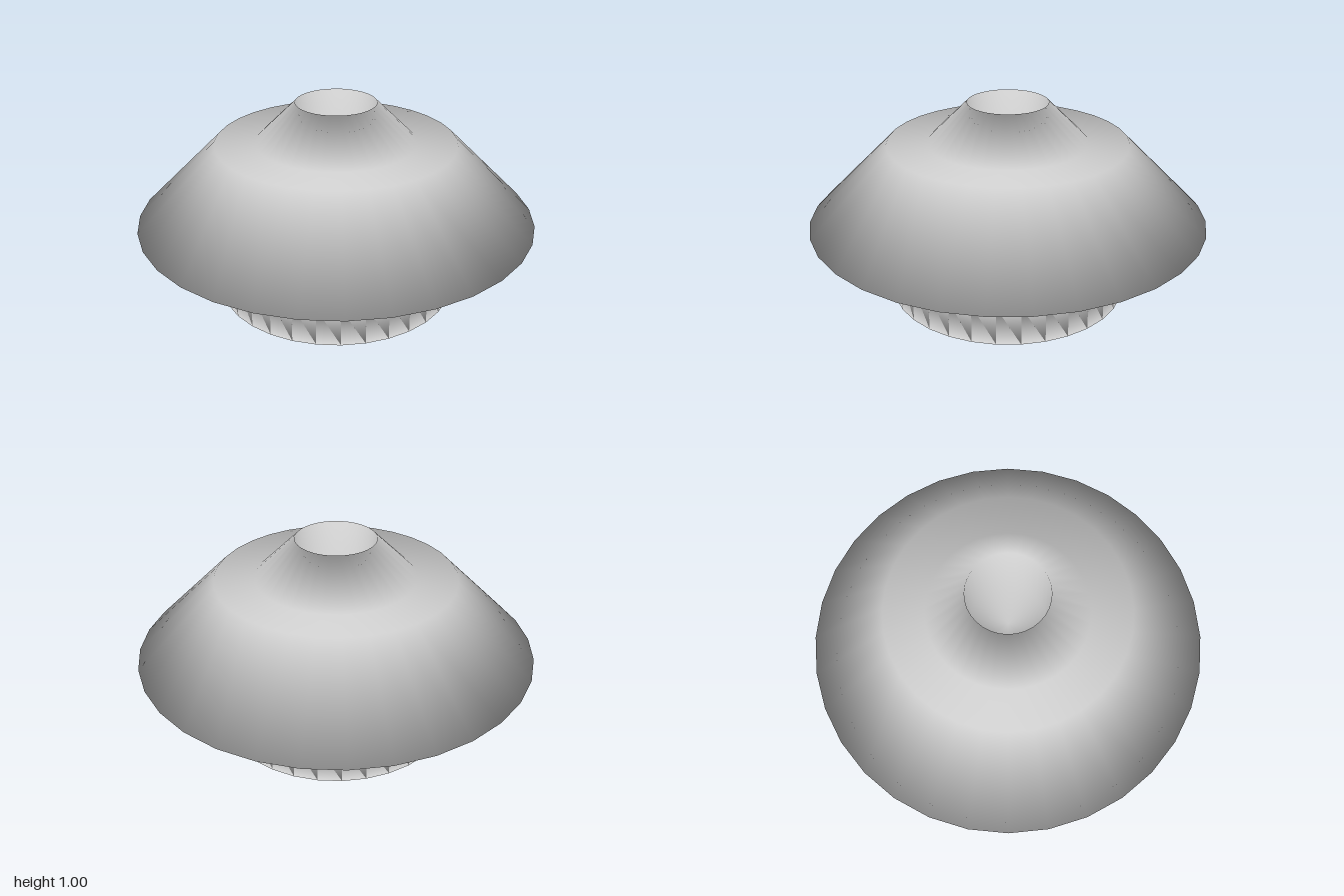
import * as THREE from 'three';

// Half section, counter-clockwise from the hollow's apex around to the socket floor
const profile = [
  [0, 0.6], [0.6, 0],               // conical hollow underneath
  [0.6, 0.2], [0.4, 0.4],           // base drum and its shoulder
  [1, 0.4], [0.6, 0.8],             // overhanging skirt
  [0.4, 0.8], [0.2, 1],             // ledge and neck
  [0.2, 0.6], [0, 0.6],             // round socket in the top
].map(([r, y]) => new THREE.Vector2(r, y));

export function createModel() {
  const group = new THREE.Group();
  group.name = 'turnedModel';

  // One closed turned body with smooth normals, seam on the -x side
  const body = new THREE.Mesh(
    new THREE.LatheGeometry(profile, 32, -Math.PI / 2),
    new THREE.MeshStandardMaterial({ color: 0xcccccc })
  );
  body.name = 'turnedBody';
  group.add(body);
  return group;
}
